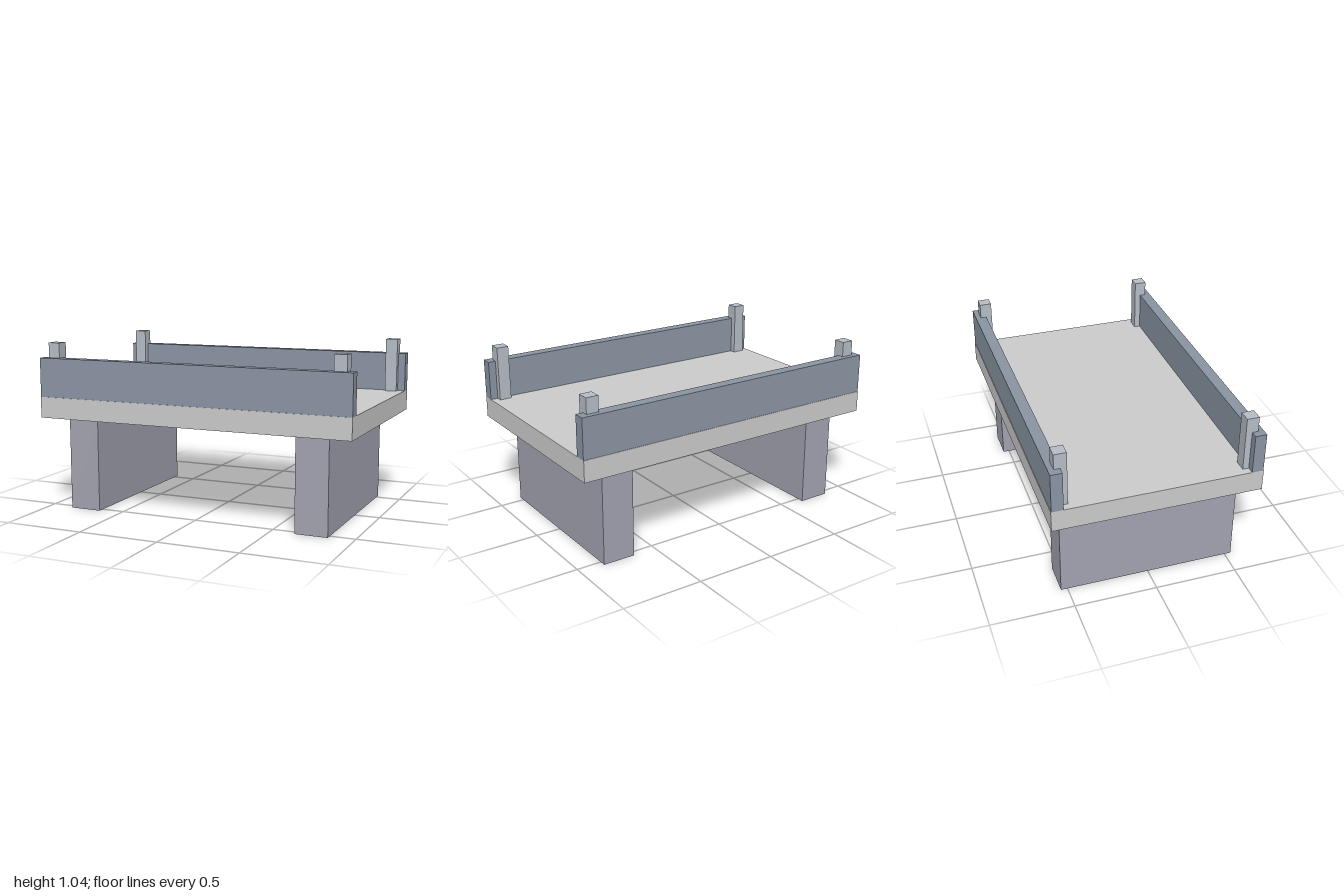
import * as THREE from 'three';

const material = (color) => new THREE.MeshStandardMaterial({ color });

export function createModel() {
  const bridge = new THREE.Group();
  bridge.name = 'bridge';

  const deckGrey = material(0xcccccc);
  const pierGrey = material(0xa2a3b0);
  const railBlue = material(0x8a95a3);
  const postGrey = material(0xb6bdc6);

  // Box sized [w, h, d] standing on height y
  function block(name, [w, h, d], x, y, z, mat) {
    const mesh = new THREE.Mesh(new THREE.BoxGeometry(w, h, d), mat);
    mesh.name = name;
    mesh.position.set(x, y + h / 2, z);
    bridge.add(mesh);
  }

  // Deck slab
  const deckBase = 0.58, deckTop = 0.71;
  block('deck', [2, deckTop - deckBase, 1.245], 0, deckBase, 0, deckGrey);

  // Supporting piers under each end
  for (const [side, sx] of [['left', 1], ['right', -1]]) {
    block(`${side}Pier`, [0.2, deckBase, 1.08], sx * 0.746, 0, 0, pierGrey);
  }

  // Side rails, each with a post near both ends
  for (const [end, sz] of [['front', 1], ['back', -1]]) {
    block(`${end}Rail`, [2, 0.242, 0.069], 0, deckTop, sz * 0.585, railBlue);
    for (const [side, sx] of [['Left', 1], ['Right', -1]]) {
      block(`${end}${side}Post`, [0.075, 0.335, 0.074], sx * 0.917, deckTop, sz * 0.55, postGrey);
    }
  }

  return bridge;
}
